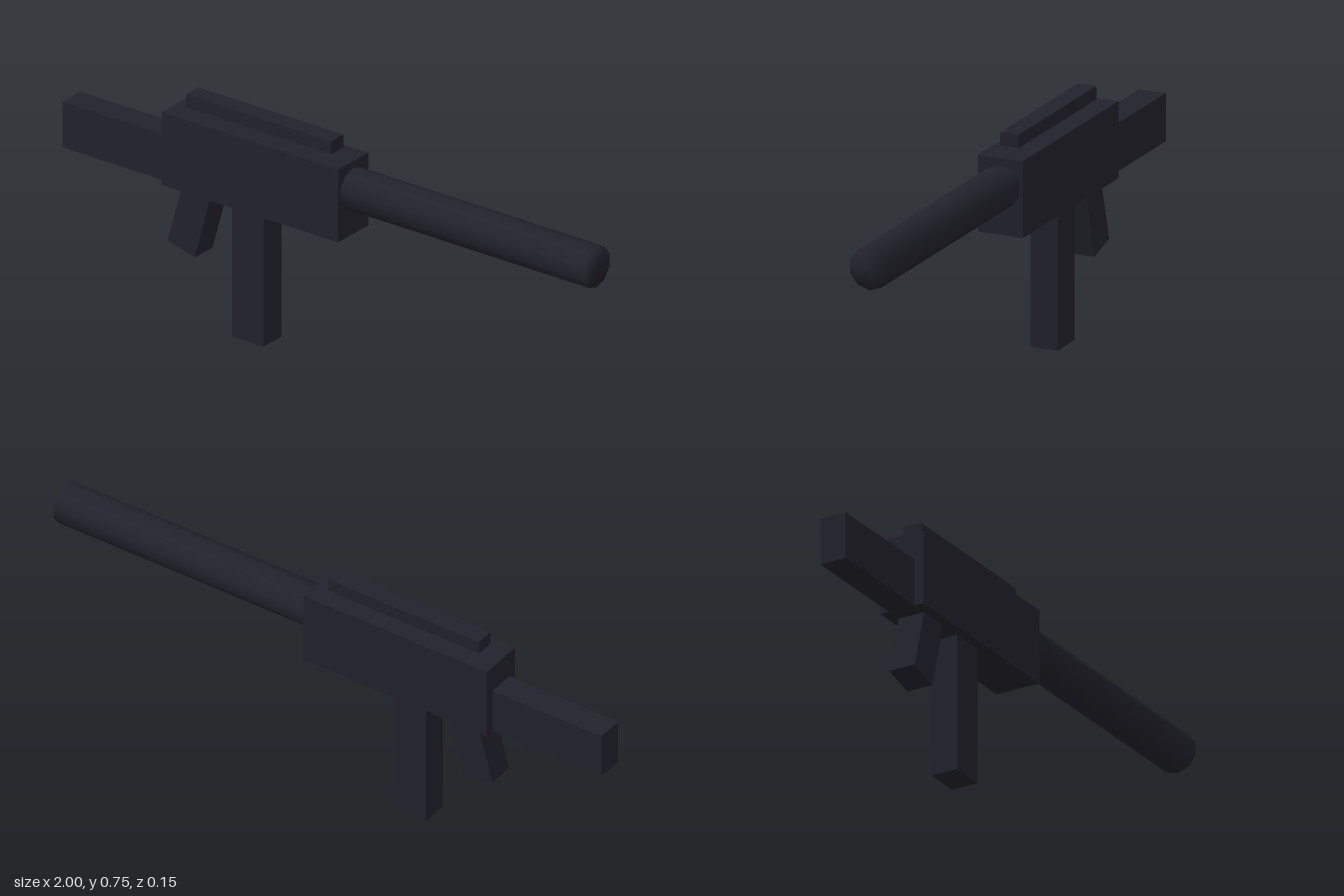
import * as THREE from 'three';
import { mergeVertices } from 'three/addons/utils/BufferGeometryUtils.js';

export function createModel() {
  const group = new THREE.Group();
  const darkMetal = new THREE.MeshStandardMaterial({ color: 0x22222c });
  darkMetal.name = 'darkMetal';

  function add(name, geometry, x, y, z = 0) {
    const mesh = new THREE.Mesh(geometry, darkMetal);
    mesh.name = name;
    mesh.position.set(x, y, z);
    group.add(mesh);
    return mesh;
  }

  // Box given by its x and y limits and its depth, centred on z = 0
  function block(name, x0, x1, y0, y1, depth) {
    return add(name, new THREE.BoxGeometry(x1 - x0, y1 - y0, depth), (x0 + x1) / 2, (y0 + y1) / 2);
  }

  block('receiver', -0.6, 0.073, 0.449, 0.693, 0.152);
  block('stock', -1, -0.6, 0.449, 0.602, 0.09);
  block('magazine', -0.355, -0.235, 0, 0.46, 0.09);
  block('topRail', -0.54, 0.012, 0.71, 0.753, 0.062);

  // Slanted hand grip, its top sunk into the receiver
  const grip = add('grip', new THREE.BoxGeometry(0.107, 0.3, 0.09), -0.508, 0.383);
  grip.rotation.z = -0.27;

  // Ten-sided barrel with shared normals, so the rim shades softly
  let tube = new THREE.CylinderGeometry(0.0675, 0.0675, 0.95, 10);
  tube.deleteAttribute('normal');
  tube.deleteAttribute('uv');
  tube = mergeVertices(tube, 1e-4);
  tube.rotateY(Math.PI / 2);
  tube.rotateZ(-Math.PI / 2);
  tube.computeVertexNormals();
  add('barrel', tube, 0.525, 0.6025);

  return group;
}
